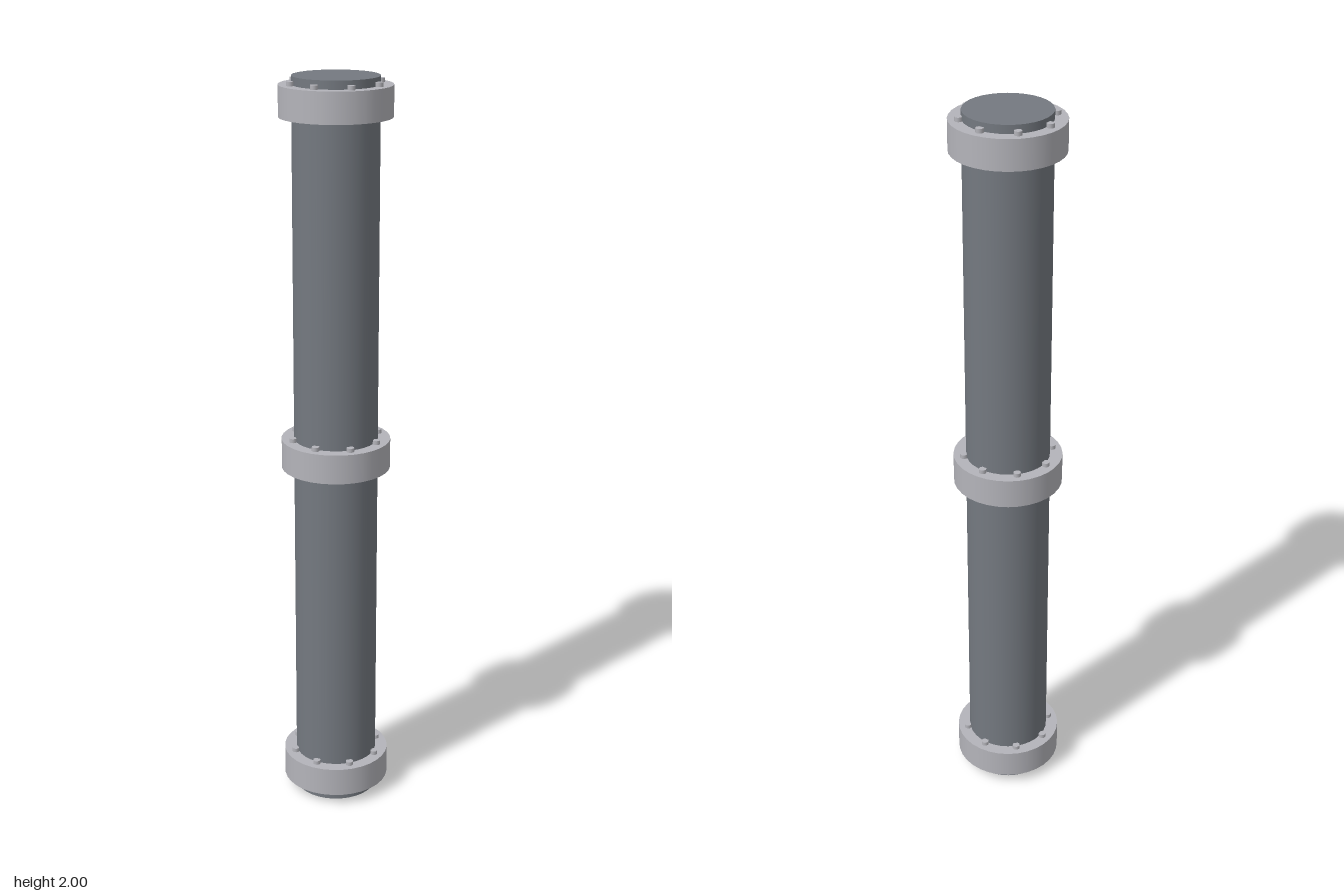
import * as THREE from 'three';

const PIPE_RADIUS = 0.1125;
const FLANGE_RADIUS = 0.146;
const FLANGE_HEIGHT = 0.08;
const BOLT_RING = 0.12;
const BOLT_COUNT = 8;

function cylinder(name, radius, height, sides, material) {
  const mesh = new THREE.Mesh(new THREE.CylinderGeometry(radius, radius, height, sides), material);
  mesh.name = name;
  return mesh;
}

export function createModel() {
  const model = new THREE.Group();
  model.name = 'flangedPipe';
  const pipeMaterial = new THREE.MeshStandardMaterial({ color: 0x747980 });
  const flangeMaterial = new THREE.MeshStandardMaterial({ color: 0xb4b4ba });

  // Main pipe, closed at both ends
  const pipe = cylinder('pipe', PIPE_RADIUS, 2, 32, pipeMaterial);
  pipe.position.y = 1;
  model.add(pipe);

  // Three collars, each with a ring of bolt heads on its upper face
  [0.072, 1.005, 1.938].forEach((y) => {
    const joint = new THREE.Group();
    joint.name = 'flangeJoint';
    joint.position.y = y;
    joint.add(cylinder('flange', FLANGE_RADIUS, FLANGE_HEIGHT, 32, flangeMaterial));
    for (let i = 0; i < BOLT_COUNT; i++) {
      const angle = (i / BOLT_COUNT) * Math.PI * 2;
      const bolt = cylinder('bolt', 0.01, 0.022, 12, flangeMaterial);
      bolt.position.set(Math.cos(angle) * BOLT_RING, FLANGE_HEIGHT / 2, Math.sin(angle) * BOLT_RING);
      joint.add(bolt);
    }
    model.add(joint);
  });

  return model;
}
